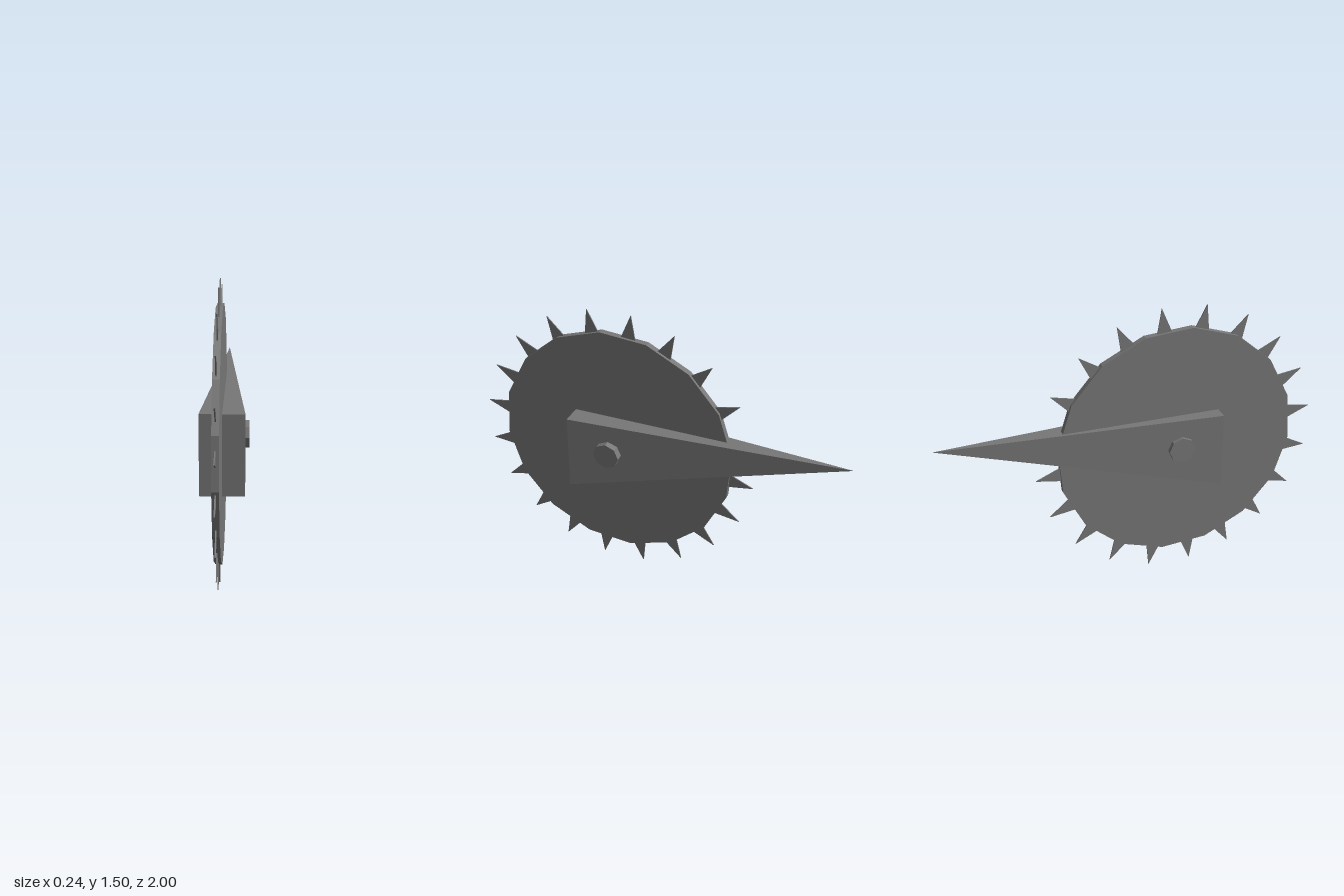
import * as THREE from 'three';

const darkGrey = new THREE.MeshStandardMaterial({ color: 0x777777, flatShading: true });

const HUB = { y: 0.753, z: 0.25 };
const DISC_X = -0.027;
const rad = THREE.MathUtils.degToRad;

function add(parent, name, geometry) {
  const mesh = new THREE.Mesh(geometry, darkGrey);
  mesh.name = name;
  parent.add(mesh);
  return mesh;
}

// Faceted cylinder lying along x
function xCylinder(radius, length, sides, startDeg) {
  return new THREE.CylinderGeometry(radius, radius, length, sides, 1, false, rad(startDeg)).rotateZ(Math.PI / 2);
}

// Four-sided wedge: upright rectangle at the front, tapering to a point level with its top
function wedge(x0, x1, y0, y1, z, tip) {
  const a = [x0, y0, z], b = [x1, y0, z], c = [x1, y1, z], d = [x0, y1, z];
  const faces = [a, b, c, a, c, d, b, a, tip, c, b, tip, d, c, tip, a, d, tip];
  const geometry = new THREE.BufferGeometry();
  geometry.setAttribute('position', new THREE.Float32BufferAttribute(faces.flat(), 3));
  geometry.computeVertexNormals();
  return geometry;
}

export function createModel() {
  const model = new THREE.Group();
  model.name = 'spikedWheel';

  // Wheel: disc, axle and ring of spikes around the hub
  const wheel = new THREE.Group();
  wheel.name = 'wheel';
  wheel.position.set(0, HUB.y, HUB.z);
  model.add(wheel);

  add(wheel, 'disc', xCylinder(0.641, 0.034, 16, 83.5)).position.x = DISC_X;
  add(wheel, 'axle', xCylinder(0.07, 0.239, 8, 0)).position.x = -0.002;

  // Thin triangular spikes, their roots sunk into the disc
  const outline = new THREE.Shape([
    new THREE.Vector2(-0.046, 0.6),
    new THREE.Vector2(0.046, 0.6),
    new THREE.Vector2(0, 0.757),
  ]);
  const spikeGeometry = new THREE.ExtrudeGeometry(outline, { depth: 0.006, bevelEnabled: false })
    .translate(0, 0, -0.003)
    .rotateY(-Math.PI / 2);
  const spikes = new THREE.Group();
  spikes.name = 'spikes';
  wheel.add(spikes);
  for (let i = 0; i < 20; i++) {
    const spike = add(spikes, 'spike', spikeGeometry);
    spike.position.x = DISC_X;
    spike.rotation.x = rad(-6.9 + 18 * i);
  }

  // Arm that carries the axle and runs to a point at the back
  add(model, 'arm', wedge(-0.12, 0.1, 0.508, 0.915, 0.472, [-0.01, 0.915, -0.998]));

  return model;
}
